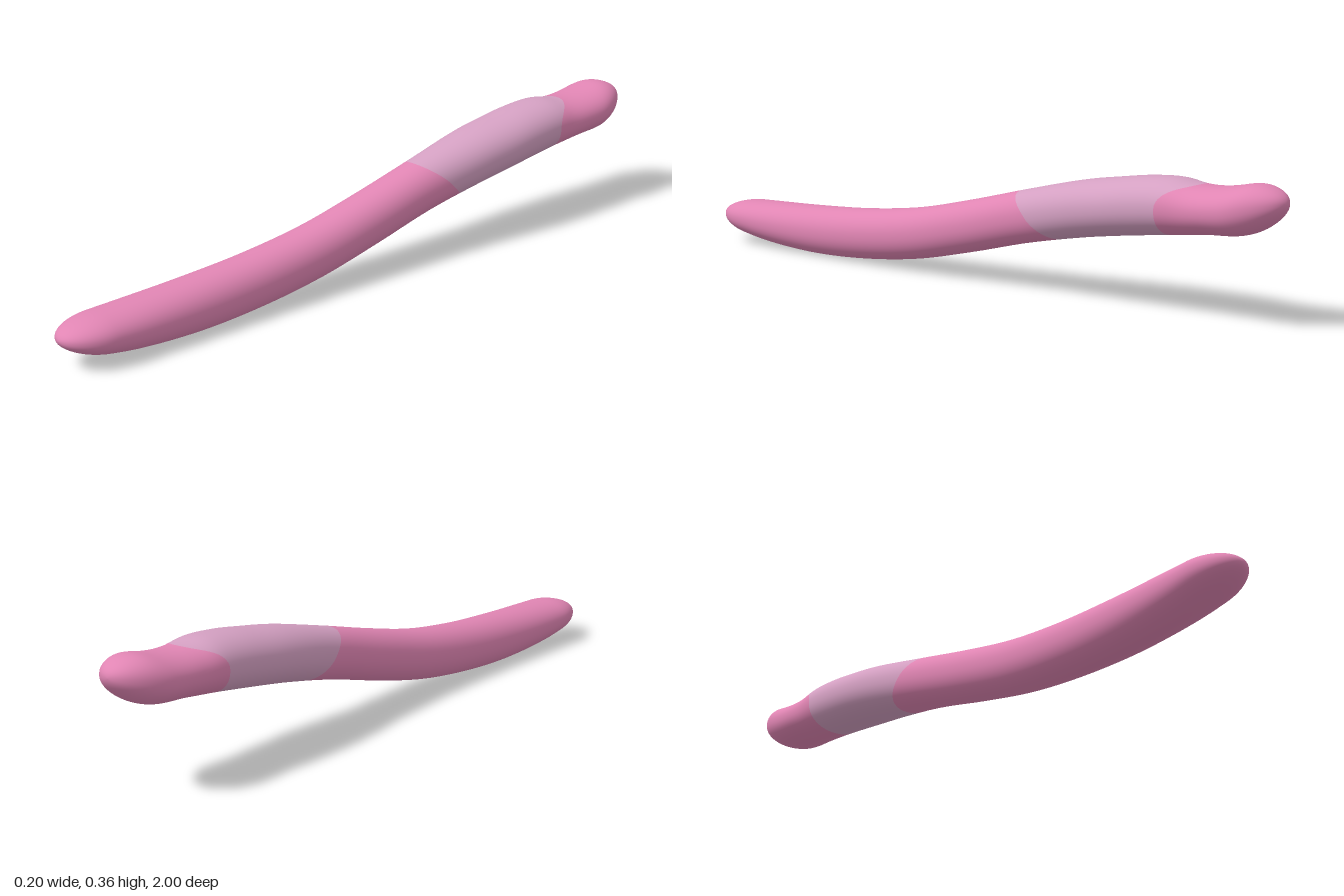
import * as THREE from 'three';

// Stations along the length: z, bottom, top, half width (end rounding is added below)
const STATIONS = [
  [-1, 0.262, 0.378, 0.085], [-0.93, 0.24, 0.37, 0.09], [-0.87, 0.23, 0.354, 0.093],
  [-0.8, 0.225, 0.345, 0.092], [-0.75, 0.219, 0.346, 0.091], [-0.69, 0.212, 0.355, 0.094],
  [-0.6, 0.2, 0.351, 0.097], [-0.5, 0.186, 0.337, 0.098], [-0.4, 0.17, 0.321, 0.093],
  [-0.2, 0.13, 0.275, 0.077], [0, 0.08, 0.225, 0.075], [0.2, 0.036, 0.181, 0.075],
  [0.4, 0.011, 0.155, 0.077], [0.6, 0.002, 0.141, 0.08], [0.8, 0.013, 0.132, 0.082],
  [0.9, 0.028, 0.128, 0.081], [1, 0.042, 0.126, 0.079],
];
const AROUND = 56;
const ROWS = [60, 30, 30]; // front, sleeve, back

const profile = new THREE.CubicInterpolant(
  STATIONS.map((s) => s[0]), STATIONS.flatMap((s) => s.slice(1)), 3);

// Point on the skin; the angle starts at the top and turns towards +x
function skinPoint(z, angle) {
  const [bottom, top, halfWidth] = profile.evaluate(z);
  const capLength = z > 0 ? 0.12 : 0.13;
  const t = Math.max(0, (Math.abs(z) - 1 + capLength) / capLength);
  const cap = Math.sqrt(Math.max(0, 1 - t * t));
  const soft = (v) => Math.sign(v) * Math.abs(v) ** 0.92;
  return [
    halfWidth * cap * soft(Math.sin(angle)),
    (bottom + top) / 2 + ((top - bottom) / 2) * cap * soft(Math.cos(angle)),
    z,
  ];
}

// Slanted front edge and arched back edge of the sleeve
const sleeveFront = (angle) => -0.25 + 0.07 * Math.cos(angle);
const sleeveBack = (angle) => -0.68 - 0.08 * Math.max(0, Math.cos(angle)) ** 2;

function rowZ(part, u, angle) {
  const a = sleeveFront(angle);
  const b = sleeveBack(angle);
  if (part === 0) return 1 + (a - 1) * (1 - Math.cos((u * Math.PI) / 2));
  if (part === 1) return a + (b - a) * u;
  return b + (-1 - b) * Math.sin((u * Math.PI) / 2);
}

export function createModel() {
  const group = new THREE.Group();
  const positions = [];
  const indices = [[], [], []];
  let row = 0;

  // One continuous skin, with its faces sorted into three parts
  ROWS.forEach((count, part) => {
    for (let i = part === 0 ? 0 : 1; i <= count; i++, row++) {
      for (let j = 0; j < AROUND; j++) {
        const angle = (j / AROUND) * Math.PI * 2;
        positions.push(...skinPoint(rowZ(part, i / count, angle), angle));
        if (row === 0) continue;
        const k = (j + 1) % AROUND;
        const p = (row - 1) * AROUND;
        const q = row * AROUND;
        indices[part].push(p + j, p + k, q + j, p + k, q + k, q + j);
      }
    }
  });

  // Shared normals keep the shading smooth across the colour seams
  const skin = new THREE.BufferGeometry();
  skin.setAttribute('position', new THREE.Float32BufferAttribute(positions, 3));
  skin.setIndex(indices.flat());
  skin.computeVertexNormals();

  const pink = new THREE.MeshStandardMaterial({ color: 0xe085b3 });
  const pale = new THREE.MeshStandardMaterial({ color: 0xd4a0c2 });
  [['frontBody', pink], ['sleeve', pale], ['backEnd', pink]].forEach(([name, material], part) => {
    const geometry = skin.clone();
    geometry.setIndex(indices[part]);
    const mesh = new THREE.Mesh(geometry.toNonIndexed(), material);
    mesh.name = name;
    group.add(mesh);
  });
  return group;
}
